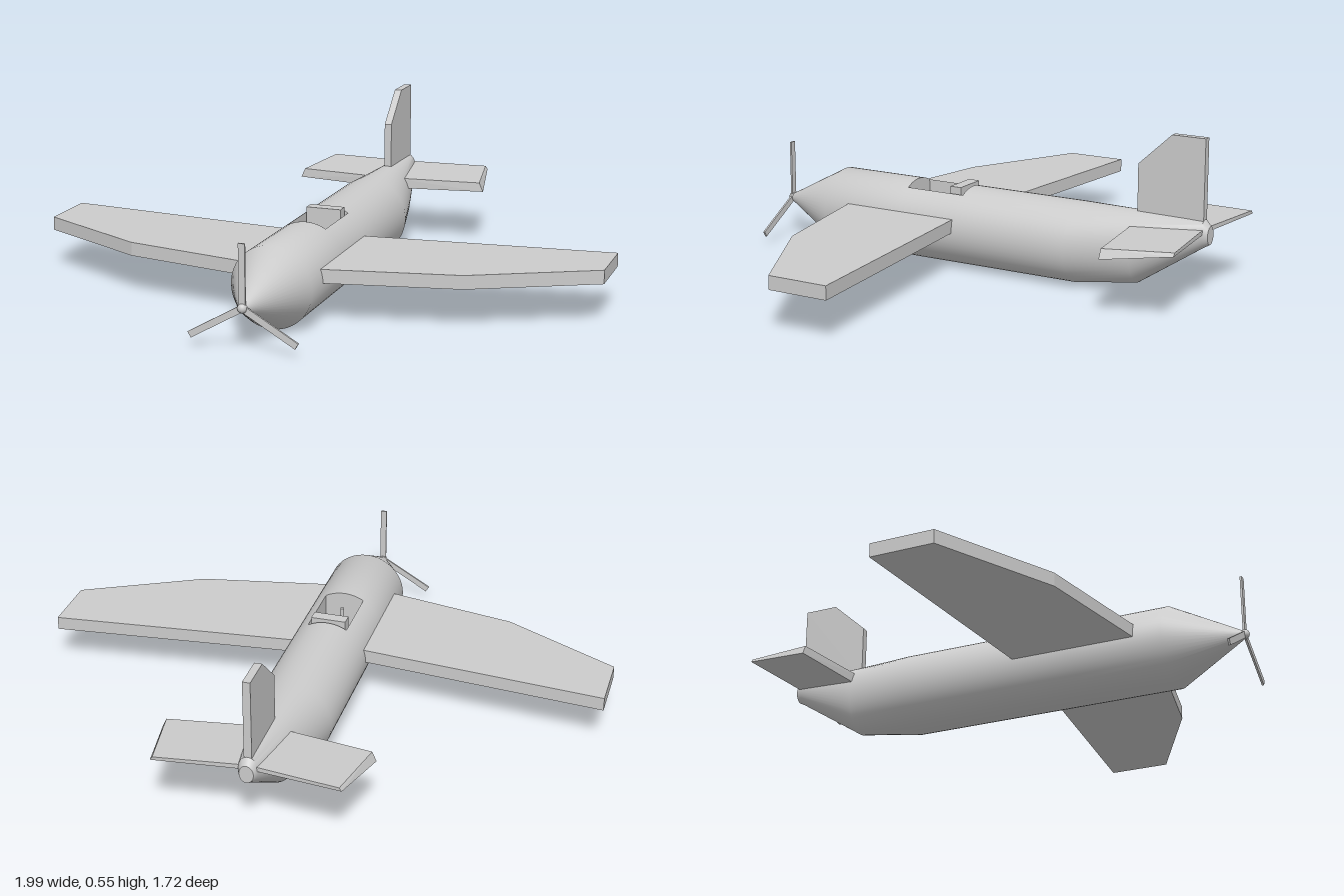
import * as THREE from 'three';
import { mergeGeometries, toCreasedNormals } from 'three/addons/utils/BufferGeometryUtils.js';
import { ConvexGeometry } from 'three/addons/geometries/ConvexGeometry.js';

const AXIS_Y = 0.145, R = 0.14;              // fuselage axis height and radius
const PIT = { front: 0.285, back: 0.06, half: 0.07, floor: 0.13 };
const PIT_ANGLE = Math.asin(PIT.half / R);

// Skin through elliptical sections [z, centreY, radiusX, radiusY], listed nose to tail.
// Angles run from the top towards +x.
function loft(sections, from = 0, to = Math.PI * 2, steps = 48) {
  const pos = [], index = [];
  for (const [z, cy, rx, ry] of sections) {
    for (let j = 0; j <= steps; j++) {
      const a = from + (to - from) * j / steps;
      pos.push(rx * Math.sin(a), cy + ry * Math.cos(a), z);
    }
  }
  const row = steps + 1;
  for (let i = 0; i < sections.length - 1; i++) {
    for (let j = 0; j < steps; j++) {
      const p = i * row + j, q = p + row;
      index.push(p, p + 1, q, p + 1, q + 1, q);
    }
  }
  const g = new THREE.BufferGeometry();
  g.setAttribute('position', new THREE.Float32BufferAttribute(pos, 3));
  g.setIndex(index);
  return g;
}

function polygon(points) {
  return new THREE.Shape(points.map(([x, y]) => new THREE.Vector2(x, y)));
}

export function createModel() {
  const model = new THREE.Group();
  model.name = 'airplane';
  const grey = new THREE.MeshStandardMaterial({ color: 0xcccccc });
  const greyDouble = new THREE.MeshStandardMaterial({ color: 0xcccccc, side: THREE.DoubleSide });

  function add(name, geometry, parent = model, material = grey) {
    const mesh = new THREE.Mesh(geometry, material);
    mesh.name = name;
    parent.add(mesh);
    return mesh;
  }
  function box(name, w, h, d, x, y, z, parent) {
    return add(name, new THREE.BoxGeometry(w, h, d).translate(x, y, z), parent);
  }

  // Fuselage: pointed nose, tube with cockpit opening, upswept tail
  const tube = (z) => [z, AXIS_Y, R, R];
  const skin = mergeGeometries([
    loft([[0.85, AXIS_Y, 0, 0], [0.85, AXIS_Y, 0.008, 0.008], tube(0.6), tube(PIT.front)]),
    loft([tube(PIT.front), tube(PIT.back)], PIT_ANGLE, Math.PI * 2 - PIT_ANGLE, 40),
    loft([
      tube(PIT.back), tube(-0.37),
      [-0.59, 0.16, 0.0875, 0.125],
      [-0.825, 0.236, 0.034, 0.047],
      [-0.845, 0.231, 0.024, 0.031],
      [-0.845, 0.231, 0, 0],
    ]),
  ]);
  // Enlarged while creasing so that close vertices stay distinct
  add('fuselage', toCreasedNormals(skin.scale(20, 20, 20), 0.6).scale(0.05, 0.05, 0.05),
    model, greyDouble);

  // Cockpit: floor, side walls and round-topped bulkheads
  const cockpit = new THREE.Group();
  cockpit.name = 'cockpit';
  model.add(cockpit);
  const length = PIT.front - PIT.back, midZ = (PIT.front + PIT.back) / 2;
  const rimY = AXIS_Y + R * Math.cos(PIT_ANGLE), depth = rimY - PIT.floor;
  add('cockpitFloor', new THREE.PlaneGeometry(PIT.half * 2, length)
    .rotateX(-Math.PI / 2).translate(0, PIT.floor, midZ), cockpit, greyDouble);
  for (const s of [1, -1]) {
    add('cockpitWall', new THREE.PlaneGeometry(length, depth)
      .rotateY(-s * Math.PI / 2).translate(s * PIT.half, PIT.floor + depth / 2, midZ),
      cockpit, greyDouble);
  }
  const bulkhead = new THREE.Shape();
  bulkhead.moveTo(-PIT.half, PIT.floor);
  bulkhead.lineTo(PIT.half, PIT.floor);
  bulkhead.absarc(0, AXIS_Y, R, Math.PI / 2 - PIT_ANGLE, Math.PI / 2 + PIT_ANGLE, false);
  for (const z of [PIT.front, PIT.back]) {
    add('bulkhead', new THREE.ShapeGeometry(bulkhead).translate(0, 0, z), cockpit, greyDouble);
  }

  // Seat and control stick
  box('seatBack', 0.124, 0.16, 0.042, 0, 0.21, 0.094, cockpit);
  box('seatPan', 0.124, 0.04, 0.08, 0, 0.15, 0.152, cockpit);
  add('controlStick', new THREE.CylinderGeometry(0.007, 0.007, 0.11, 12)
    .translate(0, 0.185, 0.255), cockpit);

  for (const s of [1, -1]) {
    const side = s > 0 ? 'left' : 'right';

    // Wing: flat slab with a kinked leading edge
    const plan = polygon([[0.1, 0.507], [0.14, 0.5], [0.585, 0.413], [0.995, 0.2],
      [0.995, -0.018], [0.14, 0.065], [0.1, 0.069]].map(([x, z]) => [s * x, z]));
    add(side + 'Wing', new THREE.ExtrudeGeometry(plan, { depth: 0.047, bevelEnabled: false })
      .rotateX(Math.PI / 2).translate(0, 0.192, 0));

    // Tailplane: wedge thinning to the rear, with a slanted tip
    const corners = [
      [0.02, 0.205, -0.578], [0.02, 0.243, -0.578], [0.02, 0.238, -0.828], [0.02, 0.254, -0.828],
      [0.362, 0.207, -0.622], [0.347, 0.24, -0.622], [0.314, 0.238, -0.86], [0.306, 0.25, -0.86],
    ];
    add(side + 'Tailplane', new ConvexGeometry(
      corners.map(([x, y, z]) => new THREE.Vector3(s * x, y, z))));
  }

  // Fin: side profile drawn as (-z, y), then turned to run backwards
  const fin = polygon([[0.585, 0.24], [0.825, 0.24], [0.825, 0.555], [0.705, 0.555], [0.585, 0.445]]);
  add('fin', new THREE.ExtrudeGeometry(fin, { depth: 0.026, bevelEnabled: false })
    .rotateY(Math.PI / 2).translate(-0.013, 0, 0));

  // Propeller: hub and three thin blades
  const propeller = new THREE.Group();
  propeller.name = 'propeller';
  propeller.position.set(0, AXIS_Y + 0.002, 0.841);
  model.add(propeller);
  add('hub', new THREE.SphereGeometry(0.016, 24, 16), propeller);
  for (let i = 0; i < 3; i++) {
    box('blade', 0.022, 0.208, 0.007, 0, 0.104, 0, propeller).rotation.z = i * Math.PI * 2 / 3;
  }
  return model;
}
